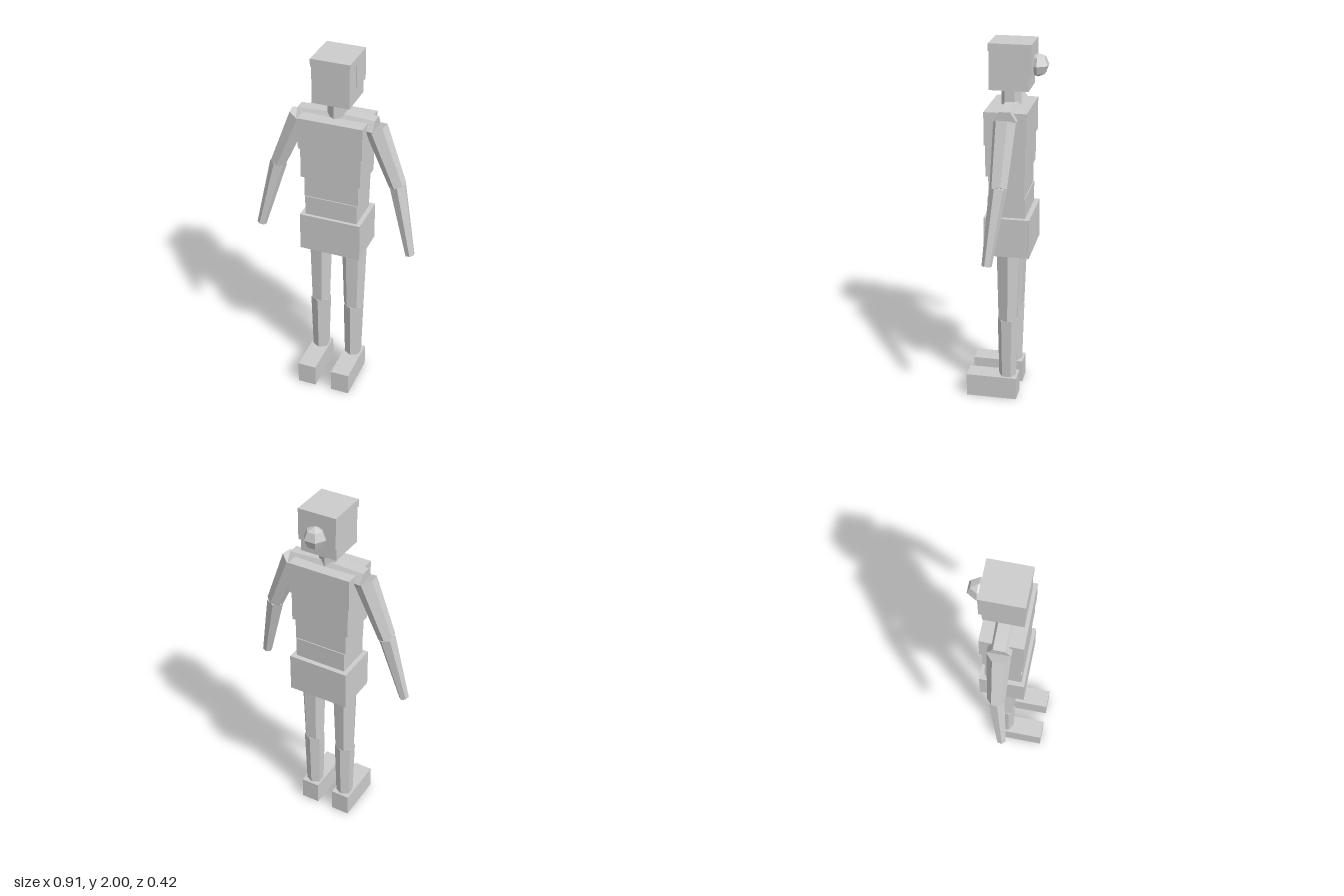
import * as THREE from 'three';

export function createModel() {
  const model = new THREE.Group();
  const grey = new THREE.MeshStandardMaterial({ color: 0xcccccc });
  grey.name = 'light grey';

  // Faceted mesh with one normal per face
  const add = (name, geometry) => {
    const g = geometry.index ? geometry.toNonIndexed() : geometry;
    g.computeVertexNormals();
    const mesh = new THREE.Mesh(g, grey);
    mesh.name = name;
    model.add(mesh);
    return mesh;
  };

  // Box from its ranges on each axis
  const block = (name, [x0, x1], [y0, y1], [z0, z1]) =>
    add(name, new THREE.BoxGeometry(x1 - x0, y1 - y0, z1 - z0))
      .position.set((x0 + x1) / 2, (y0 + y1) / 2, (z0 + z1) / 2);

  // Six-sided tapered limb between two points, corners facing front and back
  const limb = (name, from, to, r0, r1) => {
    const a = new THREE.Vector3(...from), b = new THREE.Vector3(...to);
    const dir = b.clone().sub(a);
    const mesh = add(name, new THREE.CylinderGeometry(r1, r0, dir.length(), 6));
    mesh.position.copy(a).add(b).multiplyScalar(0.5);
    mesh.quaternion.setFromUnitVectors(new THREE.Vector3(0, 1, 0), dir.normalize());
  };

  // Head, hair and bun
  block('head', [-0.1, 0.1], [1.76, 1.99], [-0.125, 0.08]);
  block('hairCap', [-0.105, 0.105], [1.96, 2], [-0.14, 0.084]);
  block('backHair', [-0.105, 0.105], [1.83, 1.97], [-0.14, -0.01]);
  add('hairBun', new THREE.SphereGeometry(0.06, 6, 4)).position.set(0, 1.878, -0.157);
  limb('neck', [0, 1.64, -0.018], [0, 1.78, -0.018], 0.052, 0.052);

  // Stacked torso
  block('upperChest', [-0.175, 0.175], [1.49, 1.665], [-0.13, 0.093]);
  block('lowerChest', [-0.165, 0.165], [1.32, 1.49], [-0.121, 0.087]);
  block('upperWaist', [-0.15, 0.15], [1.2, 1.32], [-0.113, 0.075]);
  block('lowerWaist', [-0.145, 0.145], [1.08, 1.2], [-0.118, 0.08]);
  block('hips', [-0.17, 0.17], [0.875, 1.09], [-0.145, 0.098]);

  for (const [side, s] of [['left', 1], ['right', -1]]) {
    // Shoulder and arm
    const shoulder = [s * 0.208, 1.628, -0.023];
    const elbow = [s * 0.335, 1.32, -0.015];
    limb(side + 'Shoulder', [0, 1.638, -0.025], shoulder, 0.06, 0.06);
    limb(side + 'UpperArm', shoulder, elbow, 0.06, 0.046);
    limb(side + 'Forearm', elbow, [s * 0.43, 0.932, 0.027], 0.046, 0.026);

    // Leg and foot
    const knee = [s * 0.099, 0.48, -0.019];
    limb(side + 'Thigh', [s * 0.098, 0.9, -0.022], knee, 0.07, 0.057);
    limb(side + 'Shin', knee, [s * 0.099, 0.1, -0.017], 0.057, 0.047);
    const xs = [s * 0.048, s * 0.153].sort((p, q) => p - q);
    block(side + 'Foot', xs, [0, 0.13], [-0.075, 0.207]);
  }
  return model;
}
